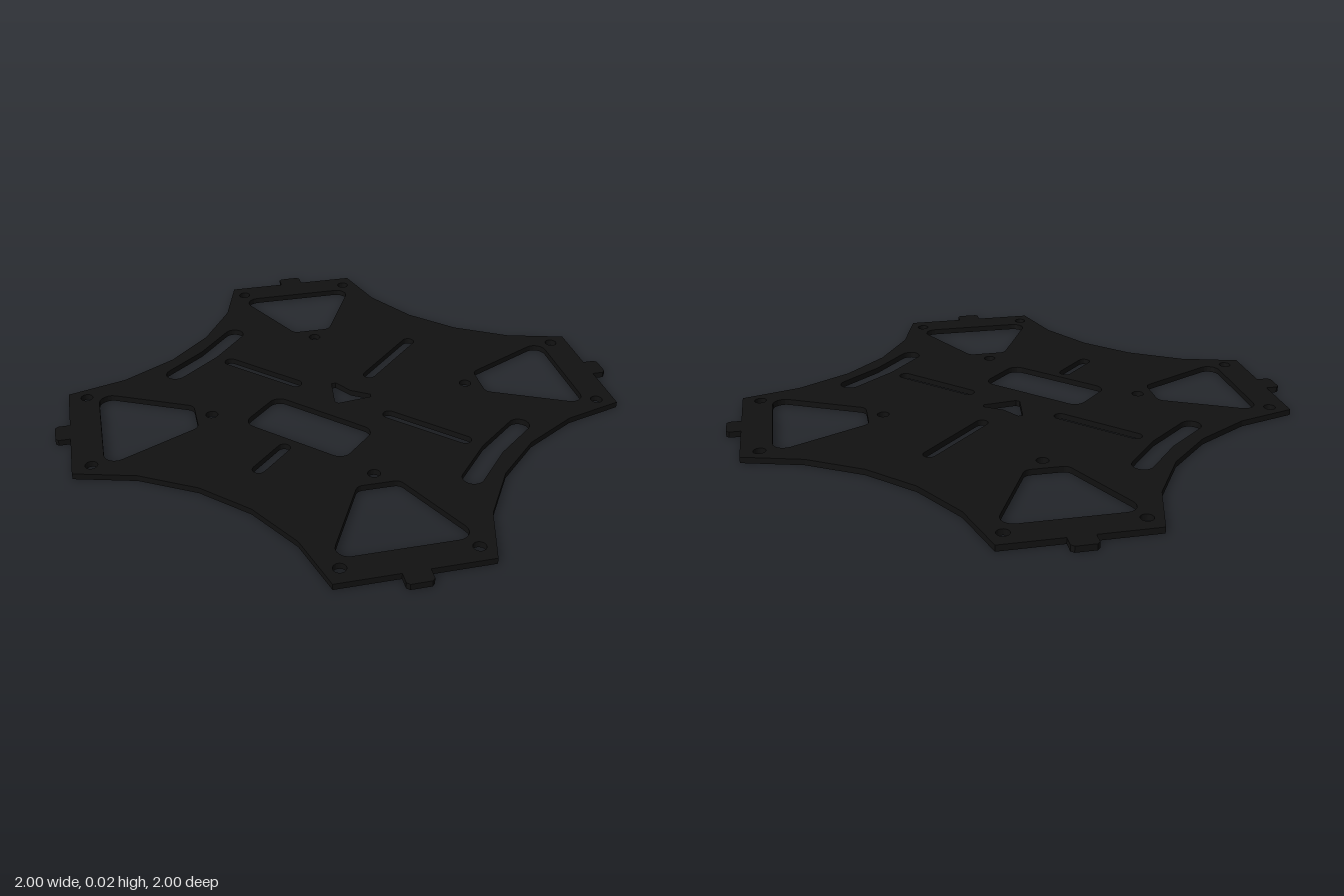
import * as THREE from 'three';

const THICKNESS = 0.021;
const V = (x, y) => new THREE.Vector2(x, y);

// Closed path through corners, each rounded with its own radius
function roundedPath(corners, radii) {
  const n = corners.length;
  const path = new THREE.Path();
  corners.forEach((c, i) => {
    const toPrev = corners[(i + n - 1) % n].clone().sub(c).normalize();
    const toNext = corners[(i + 1) % n].clone().sub(c).normalize();
    const half = Math.acos(toPrev.dot(toNext)) / 2;
    const r = radii[i];
    const centre = c.clone().addScaledVector(toPrev.clone().add(toNext).normalize(), r / Math.sin(half));
    const a = c.clone().addScaledVector(toPrev, r / Math.tan(half)).sub(centre);
    const turn = Math.sign(toNext.cross(toPrev)) * (Math.PI - 2 * half);
    for (let k = 0; k <= 6; k++) {
      const p = a.clone().rotateAround(V(0, 0), turn * k / 6).add(centre);
      if (i === 0 && k === 0) path.moveTo(p.x, p.y);
      else path.lineTo(p.x, p.y);
    }
  });
  return path;
}

// Round-ended slot of half width r along a centre line
function slotPath(line, r) {
  const pts = [];
  const side = (l) => {
    const last = l.length - 1;
    for (let i = 1; i < last; i++) {
      const d = l[i + 1].clone().sub(l[i - 1]).normalize();
      pts.push(V(l[i].x + d.y * r, l[i].y - d.x * r));
    }
    const angle = l[last].clone().sub(l[last - 1]).angle();
    for (let k = 0; k <= 12; k++) {
      const t = angle - Math.PI / 2 + Math.PI * k / 12;
      pts.push(V(l[last].x + r * Math.cos(t), l[last].y + r * Math.sin(t)));
    }
  };
  side(line);
  side([...line].reverse());
  return new THREE.Path(pts);
}

function circlePath(c, r) {
  return new THREE.Path().absarc(c.x, c.y, r, 0, Math.PI * 2, false);
}

export function createModel() {
  const group = new THREE.Group();
  group.name = 'framePlate';
  const quarter = (pts, q) => pts.map((p) => p.clone().rotateAround(V(0, 0), q * Math.PI / 2));

  // One arm of the outline, counter-clockwise: end edge with locating tab, then the curved flank
  const arm = [
    V(0.247, 0.95), V(0.043, 0.95), V(0.043, 0.99), V(0.033, 1), V(-0.033, 1), V(-0.043, 0.99),
    V(-0.043, 0.95), V(-0.247, 0.95), V(-0.305, 0.745), V(-0.415, 0.56), V(-0.56, 0.415), V(-0.745, 0.305),
  ];
  const outline = [];
  for (let q = 0; q < 4; q++) outline.push(...quarter(arm, q));
  const plate = new THREE.Shape(outline);

  // Tapered window and screw holes in every arm
  const windowCorners = [V(0.23, 0.845), V(-0.23, 0.845), V(-0.07, 0.52), V(0.07, 0.52)];
  const screws = [V(-0.212, 0.887), V(0.212, 0.887), V(0, 0.465)];
  for (let q = 0; q < 4; q++) {
    plate.holes.push(roundedPath(quarter(windowCorners, q), [0.04, 0.04, 0.03, 0.03]));
    quarter(screws, q).forEach((c) => plate.holes.push(circlePath(c, 0.021)));
  }

  // Diagonal strap slots, the fourth one shorter
  for (const [sx, sy, a, b] of [[-1, 1, 0.139, 0.348], [1, 1, 0.139, 0.348], [1, -1, 0.139, 0.348], [-1, -1, 0.257, 0.358]]) {
    plate.holes.push(slotPath([V(sx * a, sy * a), V(sx * b, sy * b)], 0.022));
  }

  // Wide bent slots along two opposite flanks
  for (const s of [-1, 1]) {
    plate.holes.push(slotPath([V(s * 0.305, -s * 0.558), V(s * 0.42, -s * 0.422), V(s * 0.558, -s * 0.305)], 0.036));
  }

  // Slanted rectangular opening
  const rect = [[-0.204, -0.1], [0.204, -0.1], [0.204, 0.1], [-0.204, 0.1]]
    .map(([x, y]) => V(x, y).rotateAround(V(0, 0), -Math.PI / 4).add(V(-0.15, -0.15)));
  plate.holes.push(roundedPath(rect, [0.04, 0.04, 0.04, 0.04]));

  // Direction arrow cut-out at the centre
  plate.holes.push(new THREE.Path([
    V(-0.012, 0.106), V(0.004, 0.108), V(0.045, 0.045), V(0.108, 0.004), V(0.106, -0.012), V(-0.016, -0.027), V(-0.027, -0.016),
  ]));

  const geometry = new THREE.ExtrudeGeometry(plate, { depth: THICKNESS, bevelEnabled: false, curveSegments: 12 });
  geometry.rotateX(-Math.PI / 2);
  const mesh = new THREE.Mesh(geometry, new THREE.MeshStandardMaterial({ color: 0x111111 }));
  mesh.name = 'plate';
  group.add(mesh);
  return group;
}
